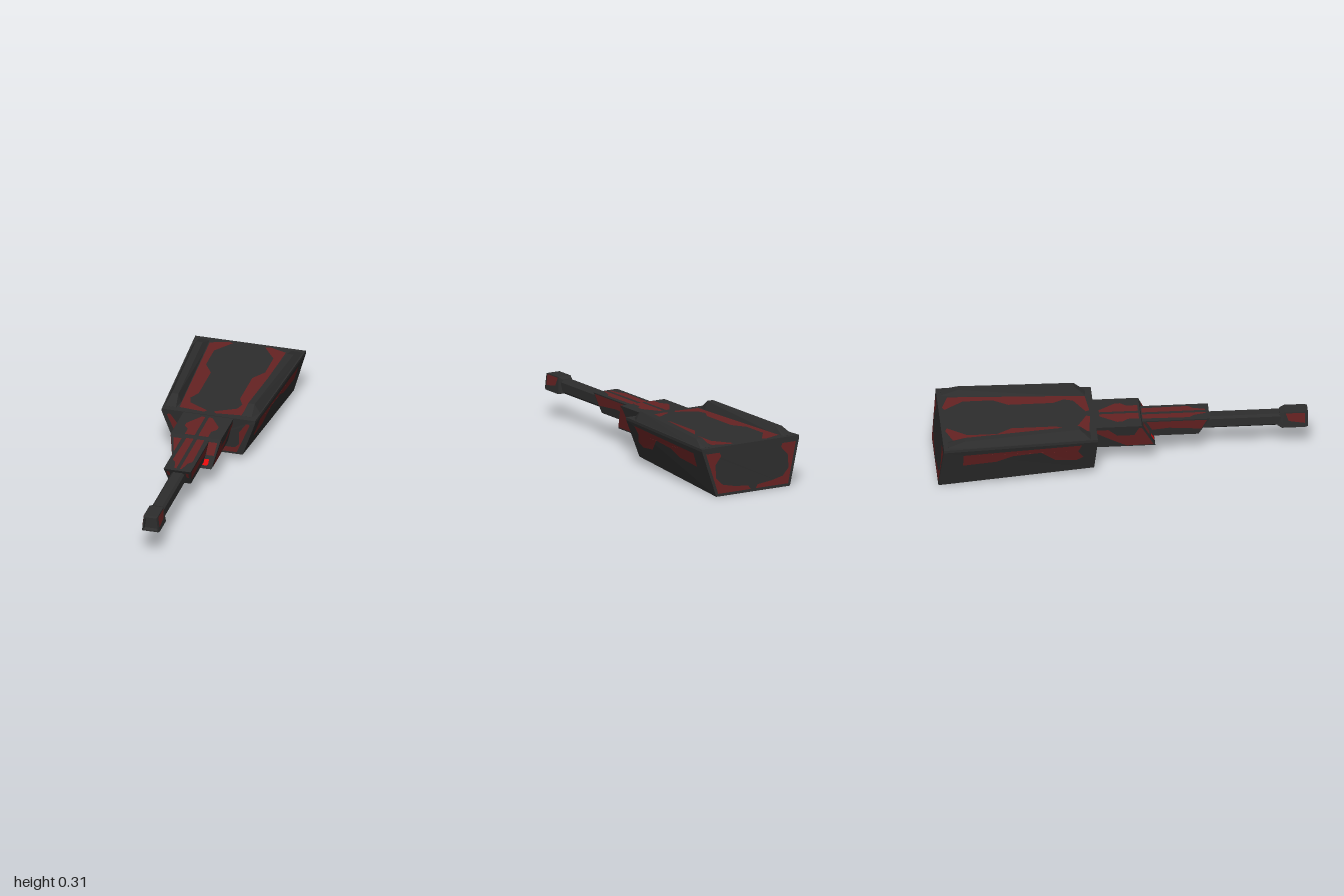
import * as THREE from 'three';

const mat = (name, color) => Object.assign(
  new THREE.MeshStandardMaterial({ color, side: THREE.DoubleSide, flatShading: true }), { name });

const lerp = (a, b, t) => a + (b - a) * t;

// Skin a run of closed rings (counter-clockwise from the front, listed back to front) and cap both ends
function loft(rings) {
  const pos = [];
  const tri = (...p) => p.forEach(v => pos.push(...v));
  const n = rings[0].length;
  for (let i = 0; i < rings.length - 1; i++) {
    for (let j = 0; j < n; j++) {
      const k = (j + 1) % n;
      const a = rings[i][j], b = rings[i][k], c = rings[i + 1][k], d = rings[i + 1][j];
      tri(a, b, c);
      tri(a, c, d);
    }
  }
  const back = rings[0], front = rings[rings.length - 1];
  for (let j = 1; j < n - 1; j++) {
    tri(back[0], back[j + 1], back[j]);
    tri(front[0], front[j], front[j + 1]);
  }
  const g = new THREE.BufferGeometry();
  g.setAttribute('position', new THREE.Float32BufferAttribute(pos, 3));
  g.computeVertexNormals();
  return g;
}

// Four-sided ring whose bottom and top edges have their own width, height and depth
const trap = (bx, by, bz, tx, ty, tz) => [[-bx, by, bz], [bx, by, bz], [tx, ty, tz], [-tx, ty, tz]];

// Eight-sided ring with cut corners
const octagon = (w, y0, y1, c, z) => [
  [-w + c, y0, z], [w - c, y0, z], [w, y0 + c, z], [w, y1 - c, z],
  [w - c, y1, z], [-w + c, y1, z], [-w, y1 - c, z], [-w, y0 + c, z]];

// Thin painted outline placed on a face by a mapping from 2D to 3D
function paint(points, map) {
  const g = new THREE.ShapeGeometry(new THREE.Shape(points.map(p => new THREE.Vector2(...p))));
  const p = g.attributes.position;
  for (let i = 0; i < p.count; i++) p.setXYZ(i, ...map(p.getX(i), p.getY(i)));
  g.computeVertexNormals();
  return g;
}

export function createModel() {
  const model = new THREE.Group();
  model.name = 'cannon';
  const grey = mat('dark grey metal', 0x2d2d2d);
  const red = mat('dark red paint', 0x662222);
  const glow = mat('bright red light', 0xff0d0d);

  const add = (name, geometry, material) => {
    const m = new THREE.Mesh(geometry, material);
    m.name = name;
    model.add(m);
  };
  const paintPair = (name, points, map, material = red) => {
    for (const s of [-1, 1]) {
      add((s > 0 ? 'left ' : 'right ') + name, paint(points, (a, b) => {
        const [x, y, z] = map(a, b);
        return [s * x, y, z];
      }), material);
    }
  };

  // Rear housing with a narrow vertical lip around the top
  const housingRing = (b, by, bz, t, tz) => [[-b, by, bz], [b, by, bz],
    [t, 0.25, tz], [t, 0.265, tz], [-t, 0.265, tz], [-t, 0.25, tz]];
  add('housing', loft([
    housingRing(0.234, 0, -1, 0.308, -0.975),
    housingRing(0.186, 0.042, -0.16, 0.26, -0.145),
  ]), grey);

  // Raised rails along both top edges
  const railRing = (s, z, inBase, inTop, outTop, outBase, h) => {
    const r = [[inBase, 0.262, z], [outBase, 0.262, z], [outTop, h, z], [inTop, h, z]]
      .map(([x, y, d]) => [s * x, y, d]);
    return s > 0 ? r : r.reverse();
  };
  for (const s of [-1, 1]) {
    add(s > 0 ? 'left rail' : 'right rail', loft([
      railRing(s, -0.95, 0.218, 0.235, 0.28, 0.3, 0.266),
      railRing(s, -0.86, 0.214, 0.235, 0.272, 0.295, 0.296),
      railRing(s, -0.24, 0.178, 0.194, 0.23, 0.262, 0.315),
      railRing(s, -0.18, 0.174, 0.19, 0.23, 0.255, 0.266),
    ]), grey);
  }

  // Receiver, barrel shroud, barrel and muzzle
  add('receiver', loft([
    trap(0.106, 0.117, -0.158, 0.139, 0.262, -0.15),
    trap(0.106, 0.117, 0.175, 0.139, 0.262, 0.1),
  ]), grey);
  add('shroud', loft([
    trap(0.06, 0.147, 0.08, 0.075, 0.25, 0.08),
    trap(0.06, 0.147, 0.41, 0.075, 0.25, 0.47),
  ]), grey);
  add('barrel', loft([
    octagon(0.036, 0.16, 0.232, 0.012, 0.38),
    octagon(0.036, 0.16, 0.232, 0.012, 0.87),
  ]), grey);
  add('muzzle', loft([
    trap(0.036, 0.165, 0.835, 0.03, 0.235, 0.85),
    trap(0.049, 0.155, 0.86, 0.038, 0.245, 0.875),
    trap(0.049, 0.155, 0.985, 0.038, 0.245, 0.985),
    trap(0.045, 0.159, 1, 0.035, 0.241, 1),
    trap(0.038, 0.166, 1, 0.03, 0.234, 1),
    trap(0.034, 0.172, 0.985, 0.026, 0.228, 0.985),
  ]), grey);

  // Paint on the housing
  const OFF = 0.004;
  const housingSide = (z, y) => {
    const t = (-0.15 - z) / 0.84;
    const low = lerp(0.042, 0, t);
    return [lerp(lerp(0.186, 0.234, t), lerp(0.26, 0.308, t), (y - low) / (0.25 - low)) + OFF, y, z];
  };
  paintPair('housing side paint', [[-0.23, 0.235], [-0.87, 0.222], [-0.87, 0.144], [-0.69, 0.155],
    [-0.6, 0.19], [-0.45, 0.2], [-0.37, 0.13], [-0.26, 0.117], [-0.22, 0.14], [-0.25, 0.19]], housingSide);
  paintPair('housing front paint', [[0.23, 0.235], [0.222, 0.243], [0.21, 0.24], [0.17, 0.183],
    [0.17, 0.11], [0.145, 0.085], [0.045, 0.085], [0.03, 0.11], [0.013, 0.11], [0.013, 0.055], [0.155, 0.055]],
  (x, y) => [x, y, lerp(-0.16, -0.145, (y - 0.042) / 0.208) + OFF]);
  paintPair('housing back paint', [[0.285, 0.235], [0.2, 0.235], [0.19, 0.215], [0.23, 0.17], [0.23, 0.1],
    [0.19, 0.06], [0.12, 0.045], [0.03, 0.035], [0.015, 0.015], [0.222, 0.015]],
  (x, y) => [x, y, lerp(-1, -0.975, y / 0.25) - OFF / 2]);
  paintPair('housing top paint', [[0.212, -0.92], [0.115, -0.955], [0.09, -0.945], [0.165, -0.84],
    [0.165, -0.68], [0.115, -0.6], [0.115, -0.36], [0.145, -0.3], [0.13, -0.25], [0.02, -0.19],
    [0.03, -0.17], [0.172, -0.185]], (x, z) => [x, 0.265 + OFF / 2, z]);
  const housingBottom = (x, z) => [x, 0.042 * (z + 1) / 0.84 - 0.0015, z];
  paintPair('rear belly paint', [[0.015, -0.96], [0.15, -0.95], [0.16, -0.8], [0.1, -0.7],
    [0.1, -0.62], [0.015, -0.62]], housingBottom);
  paintPair('front belly paint', [[0.015, -0.55], [0.12, -0.5], [0.14, -0.3], [0.1, -0.22],
    [0.015, -0.22]], housingBottom);

  // Paint and lights on the receiver
  const receiverFront = (x, y) => [x, y, 0.1 + (0.262 - y) * 0.517 + OFF];
  paintPair('receiver front paint', [[0.122, 0.247], [0.07, 0.247], [0.07, 0.184], [0.112, 0.184]], receiverFront);
  paintPair('receiver light', [[0.088, 0.165], [0.062, 0.165], [0.055, 0.145], [0.03, 0.143],
    [0.025, 0.136], [0.08, 0.133], [0.088, 0.145]], receiverFront, glow);
  paintPair('receiver side paint', [[0.165, 0.127], [0.1, 0.252], [0.085, 0.252], [0.06, 0.2],
    [-0.03, 0.2], [-0.08, 0.245], [-0.14, 0.245], [-0.14, 0.22], [-0.06, 0.17], [0.02, 0.125]],
  (z, y) => [lerp(0.106, 0.139, (y - 0.117) / 0.145) + OFF, y, z]);
  paintPair('receiver top paint', [[0.01, -0.12], [0.03, -0.12], [0.09, -0.03], [0.09, 0],
    [0.065, 0.03], [0.065, 0.09], [0.01, 0.09]], (x, z) => [x, 0.264, z]);

  // Paint on the shroud and muzzle
  paintPair('shroud top paint', [[0.01, 0.11], [0.05, 0.11], [0.055, 0.36], [0.035, 0.385],
    [0.02, 0.45], [0.01, 0.45]], (x, z) => [x, 0.252, z]);
  paintPair('shroud side paint', [[0.455, 0.245], [0.13, 0.245], [0.16, 0.19], [0.25, 0.2], [0.425, 0.185]],
    (z, y) => [lerp(0.06, 0.075, (y - 0.147) / 0.103) + 0.003, y, z]);
  paintPair('shroud front paint', [[0.045, 0.235], [0.062, 0.235], [0.058, 0.2], [0.045, 0.2]],
    (x, y) => [x, y, lerp(0.41, 0.47, (y - 0.147) / 0.103) + 0.003]);
  paintPair('muzzle side paint', [[0.982, 0.24], [0.88, 0.24], [0.895, 0.195], [0.982, 0.18]],
    (z, y) => [lerp(0.049, 0.038, (y - 0.155) / 0.09) + 0.002, y, z]);

  return model;
}
